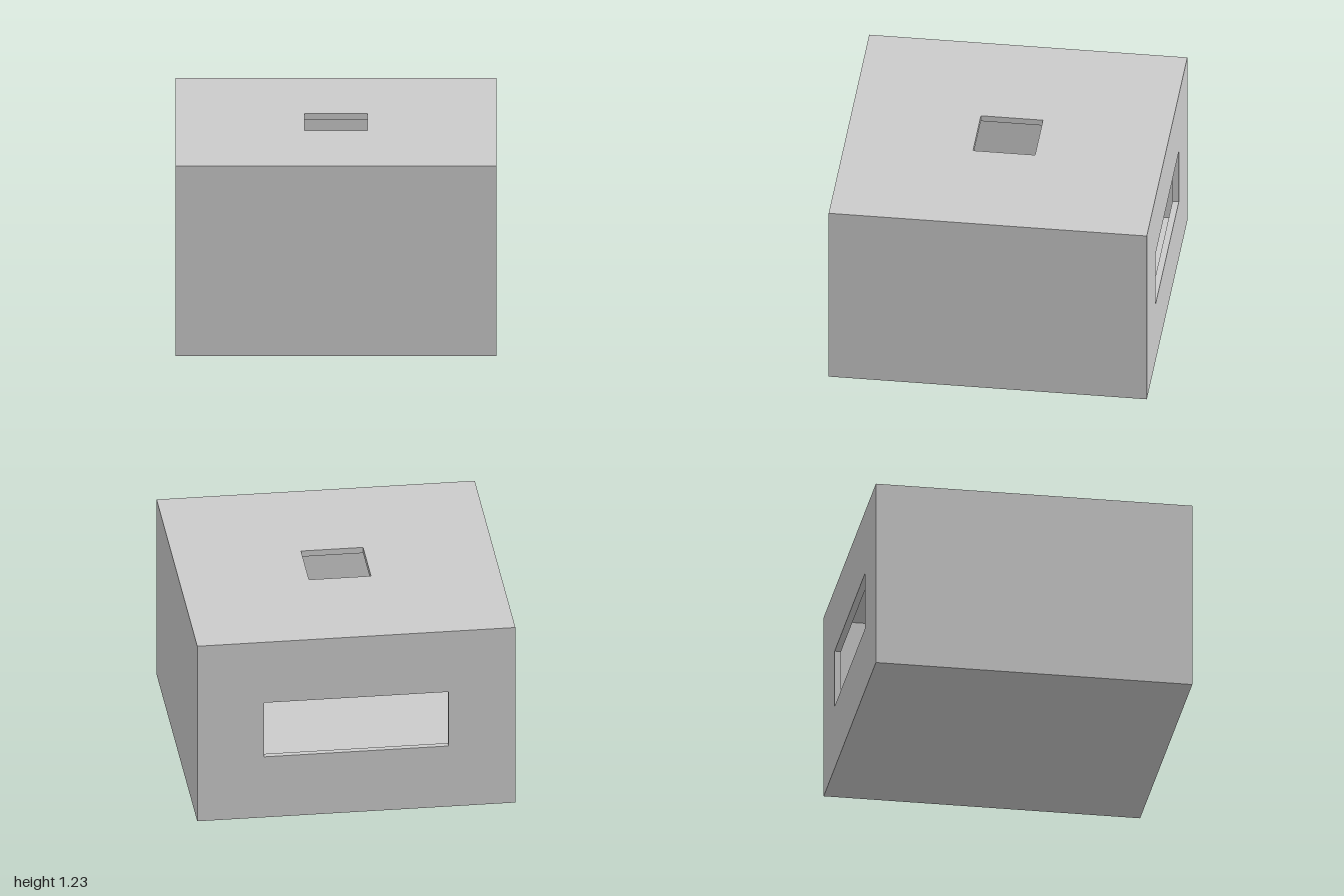
import * as THREE from 'three';
import { mergeGeometries } from 'three/addons/utils/BufferGeometryUtils.js';

const SIZE = 2, HEIGHT = 1.23, WALL = 0.04;

// Flat rectangle, centred, with an optional centred opening [width, height]
function panel(w, h, opening) {
  const shape = new THREE.Shape([[-1, -1], [1, -1], [1, 1], [-1, 1]]
    .map(([x, y]) => new THREE.Vector2(x * w / 2, y * h / 2)));
  if (opening) {
    const [a, b] = opening;
    shape.holes.push(new THREE.Path([[-1, -1], [-1, 1], [1, 1], [1, -1]]
      .map(([x, y]) => new THREE.Vector2(x * a / 2, y * b / 2))));
  }
  return new THREE.ShapeGeometry(shape);
}

// One side of the hollow box: outer skin at z = 0, inner skin at z = -WALL, opening reveals between
function wallGeometry(w, h, opening) {
  const parts = [
    panel(w, h, opening),
    panel(w - 2 * WALL, h - 2 * WALL, opening).rotateY(Math.PI).translate(0, 0, -WALL),
  ];
  if (opening) {
    const [a, b] = opening;
    for (const s of [-1, 1]) {
      parts.push(new THREE.PlaneGeometry(WALL, b).rotateY(-s * Math.PI / 2).translate(s * a / 2, 0, -WALL / 2));
      parts.push(new THREE.PlaneGeometry(a, WALL).rotateX(s * Math.PI / 2).translate(0, s * b / 2, -WALL / 2));
    }
  }
  return mergeGeometries(parts);
}

export function createModel() {
  const group = new THREE.Group();
  group.name = 'hollowBox';
  const material = new THREE.MeshStandardMaterial({ color: 0xcccccc });

  const addWall = (name, h, opening, position, rotX, rotY) => {
    const mesh = new THREE.Mesh(wallGeometry(SIZE, h, opening), material);
    mesh.name = name;
    mesh.position.set(...position);
    mesh.rotation.set(rotX, rotY, 0);
    group.add(mesh);
  };

  const r = SIZE / 2, mid = HEIGHT / 2, q = Math.PI / 2;
  // Four upright walls, the back one with a wide slot
  addWall('frontWall', HEIGHT, null, [0, mid, r], 0, 0);
  addWall('backWall', HEIGHT, [1.16, 0.38], [0, mid, -r], 0, Math.PI);
  addWall('leftWall', HEIGHT, null, [r, mid, 0], 0, q);
  addWall('rightWall', HEIGHT, null, [-r, mid, 0], 0, -q);
  // Roof with a square hatch, and a closed floor
  addWall('roof', SIZE, [0.39, 0.39], [0, HEIGHT, 0], -q, 0);
  addWall('floor', SIZE, null, [0, 0, 0], q, 0);
  return group;
}
